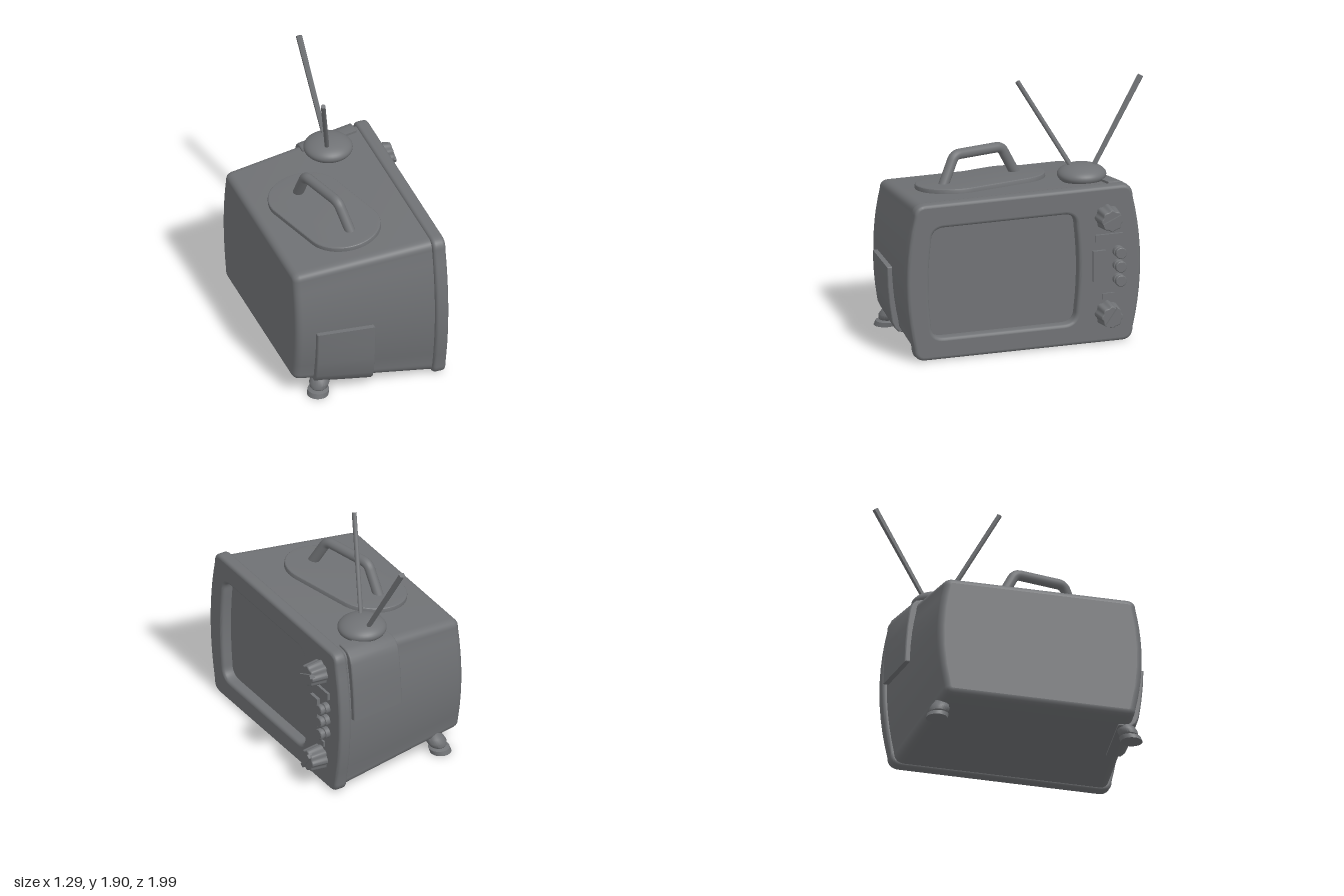
import * as THREE from 'three';
import { toCreasedNormals } from 'three/addons/utils/BufferGeometryUtils.js';

const grey = new THREE.MeshStandardMaterial({ color: 0x707275 });
grey.name = 'plain grey';
const MID_Y = 0.6, MID_Z = 0.085;

export function createModel() {
  const model = new THREE.Group();
  model.name = 'portableTelevision';

  const add = (name, geometry, x = 0, y = 0, z = 0, parent = model) => {
    const mesh = new THREE.Mesh(geometry, grey);
    mesh.name = name;
    mesh.position.set(x, y, z);
    parent.add(mesh);
    return mesh;
  };

  // Rectangle with rounded corners and sides that bow outwards; u runs along -z
  const bowed = (Type, u0, u1, v0, v1, r, bow) => {
    const s = new Type(), vm = (v0 + v1) / 2;
    s.moveTo(u0 + r, v0);
    s.lineTo(u1 - r, v0);
    s.quadraticCurveTo(u1, v0, u1, v0 + r);
    s.quadraticCurveTo(u1 + 2 * bow, vm, u1, v1 - r);
    s.quadraticCurveTo(u1, v1, u1 - r, v1);
    s.lineTo(u0 + r, v1);
    s.quadraticCurveTo(u0, v1, u0, v1 - r);
    s.quadraticCurveTo(u0 - 2 * bow, vm, u0, v0 + r);
    s.quadraticCurveTo(u0, v0, u0 + r, v0);
    return s;
  };

  // Extrudes a shape along x from x0 to x1, bends it by an optional rule
  const extrudeX = (shape, x0, x1, bevel, warp) => {
    const g = new THREE.ExtrudeGeometry(shape, {
      depth: x1 - x0 - 2 * bevel, bevelEnabled: bevel > 0, bevelSize: bevel, bevelThickness: bevel,
      bevelOffset: -bevel, bevelSegments: 4, curveSegments: 10,
    });
    g.translate(0, 0, x0 + bevel).rotateY(Math.PI / 2);
    const p = g.attributes.position, v = new THREE.Vector3();
    if (warp) {
      for (let i = 0; i < p.count; i++) {
        warp(v.fromBufferAttribute(p, i));
        p.setXYZ(i, v.x, v.y, v.z);
      }
    }
    const lids = g.groups[0].count;
    const out = toCreasedNormals(g, 0.6);
    for (let i = 0; i < lids; i++) out.attributes.normal.setXYZ(i, i < lids / 2 ? -1 : 1, 0, 0);
    out.clearGroups();
    return out;
  };

  // Cabinet narrows towards the back; its front rounding is tucked into the bezel
  const taper = (v) => {
    if (v.x > 0.4) v.x = 0.4 + (v.x - 0.4) * 0.2;
    const k = (0.4 - v.x) / 1.05;
    v.y = MID_Y + (v.y - MID_Y) * (1 - 0.2 * k);
    v.z = MID_Z + (v.z - MID_Z) * (1 - 0.11 * k);
  };
  add('cabinet', extrudeX(bowed(THREE.Shape, -MID_Z - 0.82, -MID_Z + 0.82, 0.02, 1.18, 0.08, 0.055),
    -0.65, 0.45, 0.05, taper));

  // Raised covers wrapping a lower and an upper long edge
  const cover = (name, x0, x1, s) => {
    const side = [0.03, 0.2, 0.35, 0.5].map((q) => [0.86 + 0.055 * (1 - (q / 0.58) ** 2), q]);
    const pts = [[0.7, 0.03], ...side, [0.85, 0.555], [0.82, 0.585], [0.77, 0.598], [0.7, 0.598]];
    const shape = new THREE.Shape(pts.map(([p, q]) => new THREE.Vector2(-MID_Z + s * p, MID_Y + s * q)));
    add(name, extrudeX(shape, x0, x1, 0.012, taper));
  };
  cover('lowerSideCover', -0.5, -0.06, -1);
  cover('upperSideCover', -0.06, 0.38, 1);

  // Bezel with the screen opening
  const bezel = bowed(THREE.Shape, -MID_Z - 0.85, -MID_Z + 0.85, 0.005, 1.2, 0.09, 0.06);
  bezel.holes.push(bowed(THREE.Path, -0.805, 0.325, 0.17, 1.015, 0.1, 0.02));
  add('bezel', extrudeX(bezel, 0.4, 0.5, 0.025));
  add('screen', new THREE.BoxGeometry(0.009, 0.94, 1.24), 0.413, 0.593, 0.24);

  // Fluted knobs with a grip bar
  const knob = (name, y, turn) => {
    const group = new THREE.Group();
    group.name = name;
    group.position.set(0.5, y, -0.56);
    const pts = [];
    for (let i = 0; i < 64; i++) {
      const a = (i / 64) * Math.PI * 2, r = 0.091 + 0.006 * Math.cos(8 * a);
      pts.push(new THREE.Vector2(r * Math.cos(a), r * Math.sin(a)));
    }
    const narrow = (v) => { const k = 1 - v.x * 1.1; v.y *= k; v.z *= k; };
    add(name + 'Body', extrudeX(new THREE.Shape(pts), -0.01, 0.125, 0.008, narrow), 0, 0, 0, group);
    add(name + 'Grip', new THREE.BoxGeometry(0.04, 0.034, 0.155), 0.122, 0, 0, group).rotation.x = turn;
    model.add(group);
  };
  knob('upperKnob', 0.97, 0.42);
  knob('lowerKnob', 0.23, 0.95);

  // Control strip plates: y, z, height, width, front x
  [['upperSlot', 0.812, -0.572, 0.055, 0.215, 0.52],
    ['dialPlate', 0.602, -0.495, 0.235, 0.1, 0.525],
    ['lowerSlot', 0.362, -0.567, 0.045, 0.095, 0.515]].forEach(([name, y, z, h, w, x]) =>
    add(name, new THREE.BoxGeometry(x - 0.49, h, w), (x + 0.49) / 2, y, z));

  // Push buttons with a waist groove
  for (const y of [0.7, 0.595, 0.487]) {
    const b = new THREE.LatheGeometry([[0.043, -0.01], [0.043, 0.035], [0.034, 0.038], [0.034, 0.046],
      [0.043, 0.05], [0.043, 0.075], [0.038, 0.08], [0, 0.08]].map((p) => new THREE.Vector2(...p)), 24);
    add('pushButton', toCreasedNormals(b.rotateZ(-Math.PI / 2), 0.6), 0.5, y, -0.645);
  }

  // Stadium plate lying on the sloped top, below the handle
  const R = 0.28, L = 0.24, stadium = new THREE.Shape();
  stadium.absarc(0, L, R - 0.012, 0, Math.PI);
  stadium.absarc(0, -L, R - 0.012, Math.PI, Math.PI * 2);
  const plate = new THREE.ExtrudeGeometry(stadium, {
    depth: 0.04, bevelSize: 0.012, bevelThickness: 0.012, bevelSegments: 3, curveSegments: 24,
  });
  plate.rotateX(-Math.PI / 2).rotateY(0.25).rotateZ(0.11);
  add('handlePlate', toCreasedNormals(plate, 0.35), -0.175, 1.1, 0.19);

  // Carrying handle: straight runs joined by short bends
  const pts = [[-0.275, 1.08, -0.14], [-0.255, 1.345, 0.0], [-0.15, 1.355, 0.4], [-0.085, 1.12, 0.52]]
    .map((p) => new THREE.Vector3(...p));
  const path = new THREE.CurvePath();
  let from = pts[0];
  for (let i = 1; i < 3; i++) {
    const a = pts[i].clone().lerp(pts[i - 1], 0.045 / pts[i].distanceTo(pts[i - 1]));
    const b = pts[i].clone().lerp(pts[i + 1], 0.045 / pts[i].distanceTo(pts[i + 1]));
    path.add(new THREE.LineCurve3(from, a));
    path.add(new THREE.QuadraticBezierCurve3(a, pts[i], b));
    from = b;
  }
  path.add(new THREE.LineCurve3(from, pts[3]));
  add('handle', new THREE.TubeGeometry(path, 80, 0.039, 16));

  // Antenna dome and rods
  add('antennaDome', new THREE.SphereGeometry(1, 40, 24).scale(0.182, 0.078, 0.182), 0.11, 1.193, -0.5);
  const rod = (name, a, b, r0, r1, sides) => {
    const p = new THREE.Vector3(...a), q = new THREE.Vector3(...b);
    const g = new THREE.CylinderGeometry(r1, r0, p.distanceTo(q), sides);
    const mesh = add(name, toCreasedNormals(g, 0.9));
    mesh.position.copy(p).lerp(q, 0.5);
    mesh.quaternion.setFromUnitVectors(new THREE.Vector3(0, 1, 0), q.sub(p).normalize());
  };
  rod('leftAntenna', [0.085, 1.21, -0.45], [-0.09, 1.887, -0.07], 0.018, 0.018, 8);
  rod('rightAntenna', [0.115, 1.21, -0.57], [0.06, 1.887, -0.977], 0.019, 0.024, 6);

  // Rear feet, leaning outwards towards the floor
  for (const s of [-1, 1]) {
    const g = new THREE.LatheGeometry([[0, 0], [0.08, 0], [0.08, 0.035], [0.055, 0.045], [0.066, 0.055],
      [0.075, 0.085], [0.065, 0.12], [0.05, 0.15], [0.05, 0.24]].map((p) => new THREE.Vector2(...p)), 28);
    const p = g.attributes.position;
    for (let i = 0; i < p.count; i++) {
      p.setX(i, p.getX(i) + 0.25 * p.getY(i));
      p.setZ(i, p.getZ(i) - s * 0.3 * p.getY(i));
    }
    add(s > 0 ? 'leftFoot' : 'rightFoot', toCreasedNormals(g, 0.6), -0.47, 0, MID_Z + s * 0.745);
  }
  return model;
}
